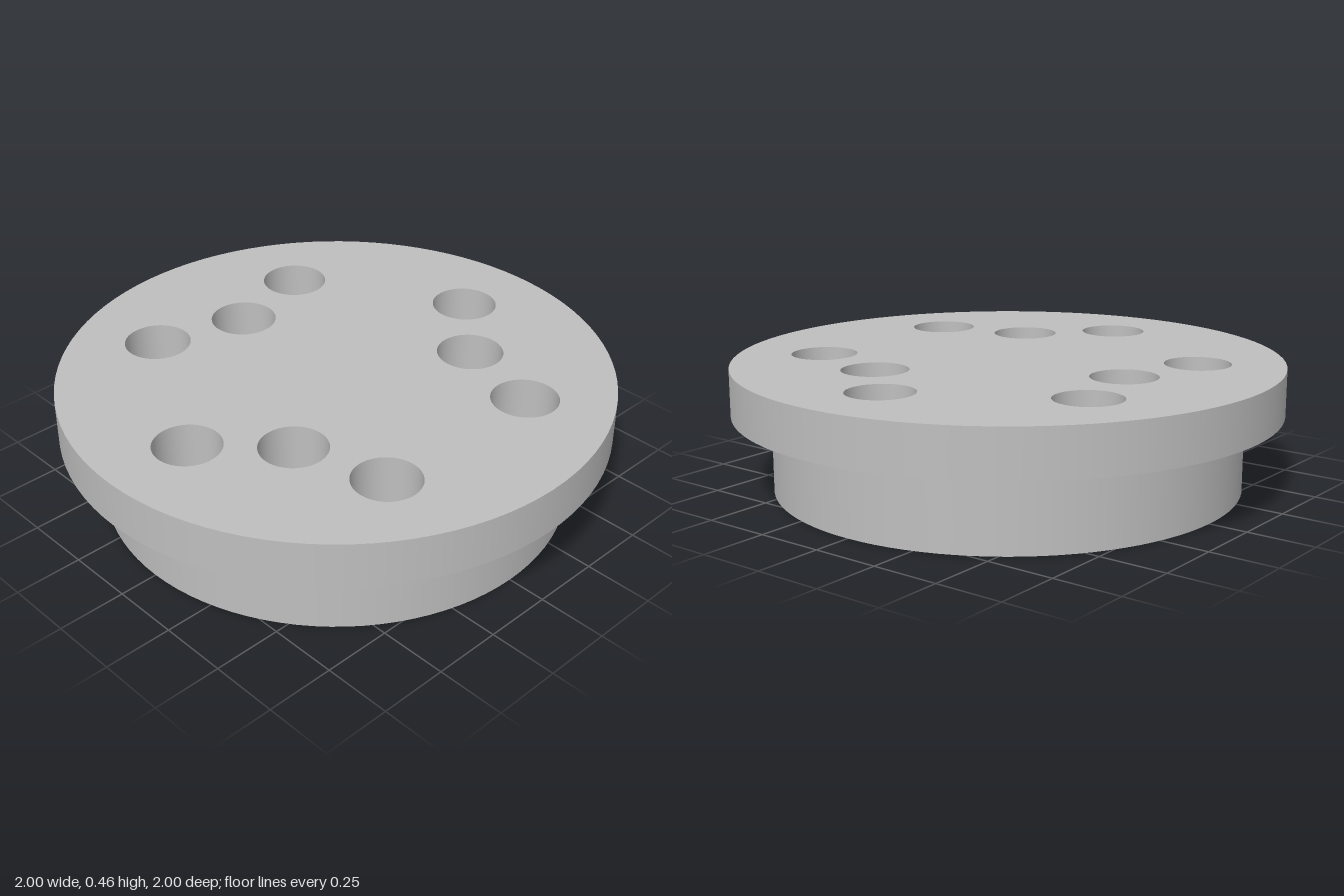
import * as THREE from 'three';

const SEGMENTS = 96;
const FLANGE_R = 1, BASE_R = 0.857, HOLE_R = 0.121;
const TOP = 0.46, STEP = 0.288;

// Hole centres in plan: six on the outer circle, three on the inner circle
const ring = (count, radius, startDeg) =>
  Array.from({ length: count }, (_, i) => {
    const a = THREE.MathUtils.degToRad(startDeg + (i * 360) / count);
    return [radius * Math.cos(a), radius * Math.sin(a)];
  });
const HOLES = [...ring(6, 0.685, 30), ...ring(3, 0.505, 60)];

export function createModel() {
  const model = new THREE.Group();
  model.name = 'flangedDisc';
  const grey = new THREE.MeshStandardMaterial({ color: 0xbfbfbf });
  grey.name = 'plainGrey';

  const add = (name, geometry) => {
    const mesh = new THREE.Mesh(geometry, grey);
    mesh.name = name;
    model.add(mesh);
    return mesh;
  };

  // One straight profile segment revolved about y; keeps the rims sharp
  const band = (r0, y0, r1, y1) =>
    new THREE.LatheGeometry([new THREE.Vector2(r0, y0), new THREE.Vector2(r1, y1)], SEGMENTS);

  // Flat pierced disc, facing up or down
  const face = (radius, y, up) => {
    const shape = new THREE.Shape().absarc(0, 0, radius, 0, Math.PI * 2);
    for (const [x, z] of HOLES) {
      shape.holes.push(new THREE.Path().absarc(x, z, HOLE_R, 0, Math.PI * 2, true));
    }
    return new THREE.ShapeGeometry(shape, SEGMENTS / 2)
      .rotateX(up ? -Math.PI / 2 : Math.PI / 2)
      .translate(0, y, 0);
  };

  // Outer skin
  add('baseFace', face(BASE_R, 0, false));
  add('baseWall', band(BASE_R, 0, BASE_R, STEP));
  add('flangeUnderside', band(BASE_R, STEP, FLANGE_R, STEP));
  add('flangeWall', band(FLANGE_R, STEP, FLANGE_R, TOP));
  add('flangeFace', face(FLANGE_R, TOP, true));

  // Bore walls, profile run downwards so they face inwards
  const bore = band(HOLE_R, TOP, HOLE_R, 0);
  HOLES.forEach(([x, z], i) => add(`holeWall${i + 1}`, bore).position.set(x, 0, z));

  return model;
}
